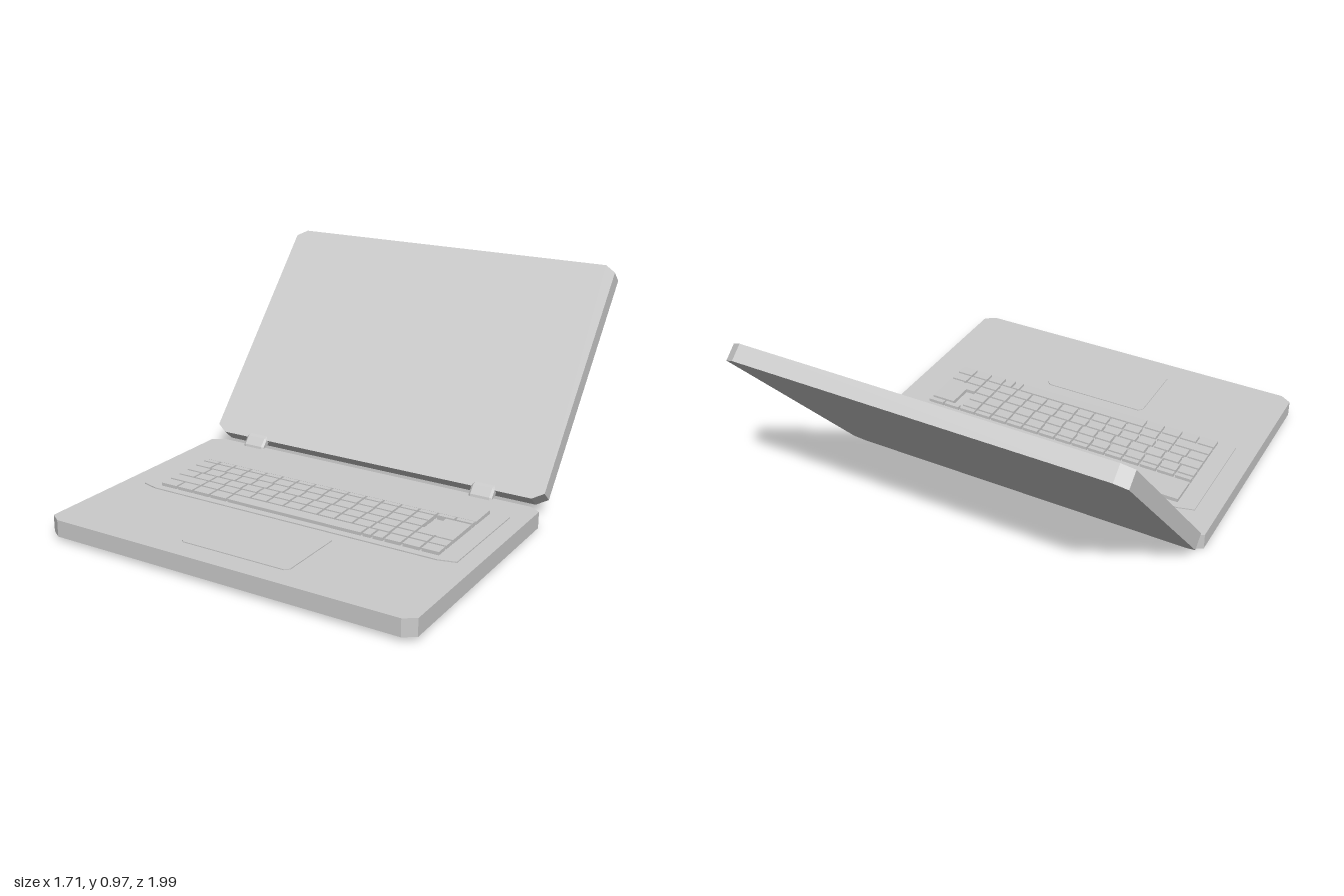
import * as THREE from 'three';

const grey = new THREE.MeshStandardMaterial({ color: 0xcccccc, flatShading: true });

function add(parent, geometry, name) {
  const mesh = new THREE.Mesh(geometry, grey);
  mesh.name = name;
  parent.add(mesh);
  return mesh;
}

// Flat slab with cut corners, spanning x0..x1 and z0..z1, from y0 up to y1
function slab(x0, x1, z0, z1, y0, y1, cx, cz) {
  const s = new THREE.Shape([
    [x0 + cx, -z1], [x1 - cx, -z1], [x1, -z1 + cz], [x1, -z0 - cz],
    [x1 - cx, -z0], [x0 + cx, -z0], [x0, -z0 - cz], [x0, -z1 + cz],
  ].map(([x, y]) => new THREE.Vector2(x, y)));
  return new THREE.ExtrudeGeometry(s, { depth: y1 - y0, bevelEnabled: false })
    .rotateX(-Math.PI / 2).translate(0, y0, 0);
}

function block(x0, x1, z0, z1, y0, y1) {
  return new THREE.BoxGeometry(x1 - x0, y1 - y0, z1 - z0)
    .translate((x0 + x1) / 2, (y0 + y1) / 2, (z0 + z1) / 2);
}

// Evenly spaced key edges from a to b
function edges(a, b, n) {
  return Array.from({ length: n + 1 }, (_, i) => a + (b - a) * i / n);
}

export function createModel() {
  const model = new THREE.Group();
  model.name = 'laptop';

  // Base, tipped slightly up at the front
  const base = new THREE.Group();
  base.name = 'base';
  base.position.z = -0.16;
  base.rotation.x = -0.0164;
  model.add(base);
  add(base, slab(-0.853, 0.853, 0, 1.16, 0, 0.074, 0.05, 0.033), 'baseBody');
  add(base, slab(-0.755, 0.775, 0.14, 0.68, 0.07, 0.079, 0.075, 0.02), 'keyboardPlate');
  add(base, slab(-0.25, 0.265, 0.725, 1.06, 0.07, 0.078, 0.018, 0.018), 'touchpad');

  // Keyboard, lying level
  const keyboard = new THREE.Group();
  keyboard.name = 'keyboard';
  model.add(keyboard);
  add(keyboard, block(-0.67, 0.69, 0.01, 0.145, 0.07, 0.099), 'speakerStrip');

  const L = -0.675, R = 0.695;
  const rows = [
    { z: [0.152, 0.184], x: edges(L, R, 16) },
    { z: [0.184, 0.244], x: edges(L, 0.525, 14) },
    { z: [0.244, 0.306], x: [L, ...edges(-0.575, 0.525, 13)] },
    { z: [0.306, 0.366], x: [L, -0.585, -0.5, ...edges(-0.42, 0.525, 11), 0.61, R] },
    { z: [0.366, 0.426], x: [L, -0.5, -0.41, ...edges(-0.325, 0.35, 8), 0.44, 0.525, 0.61, R] },
    { z: [0.426, 0.49], x: [L, -0.585, -0.5, -0.41, -0.32, 0.345, 0.39, 0.445, 0.525, 0.61, R] },
  ];
  const gap = 0.005;
  for (const { z, x } of rows) {
    for (let i = 0; i < x.length - 1; i++) {
      add(keyboard, block(x[i] + gap, x[i + 1] - gap, z[0] + gap, z[1] - gap, 0.07, 0.104), 'key');
    }
  }
  add(keyboard, block(0.575, 0.69, 0.192, 0.355, 0.07, 0.104), 'enterKey');

  // Lid, leaning back
  const lid = new THREE.Group();
  lid.name = 'lid';
  lid.position.set(-0.004, 0.059, -0.225);
  lid.rotation.x = 0.843;
  model.add(lid);
  add(lid, slab(-0.853, 0.853, -1.157, 0, 0, 0.073, 0.05, 0.033), 'lidPanel');

  // Hinges bridging base and lid: side profile in z and y
  const profile = new THREE.Shape([
    [0.13, 0.065], [0.135, 0.085], [0.165, 0.118], [0.185, 0.124], [0.205, 0.11], [0.18, 0.075],
  ].map(([z, y]) => new THREE.Vector2(z, y)));
  for (const x of [-0.615, 0.575]) {
    const hinge = new THREE.ExtrudeGeometry(profile, {
      depth: 0.09, bevelEnabled: true, bevelThickness: 0.01, bevelSize: 0.008, bevelOffset: -0.008, bevelSegments: 1,
    }).translate(0, 0, -0.045).rotateY(Math.PI / 2);
    add(model, hinge, 'hinge').position.x = x;
  }
  return model;
}
